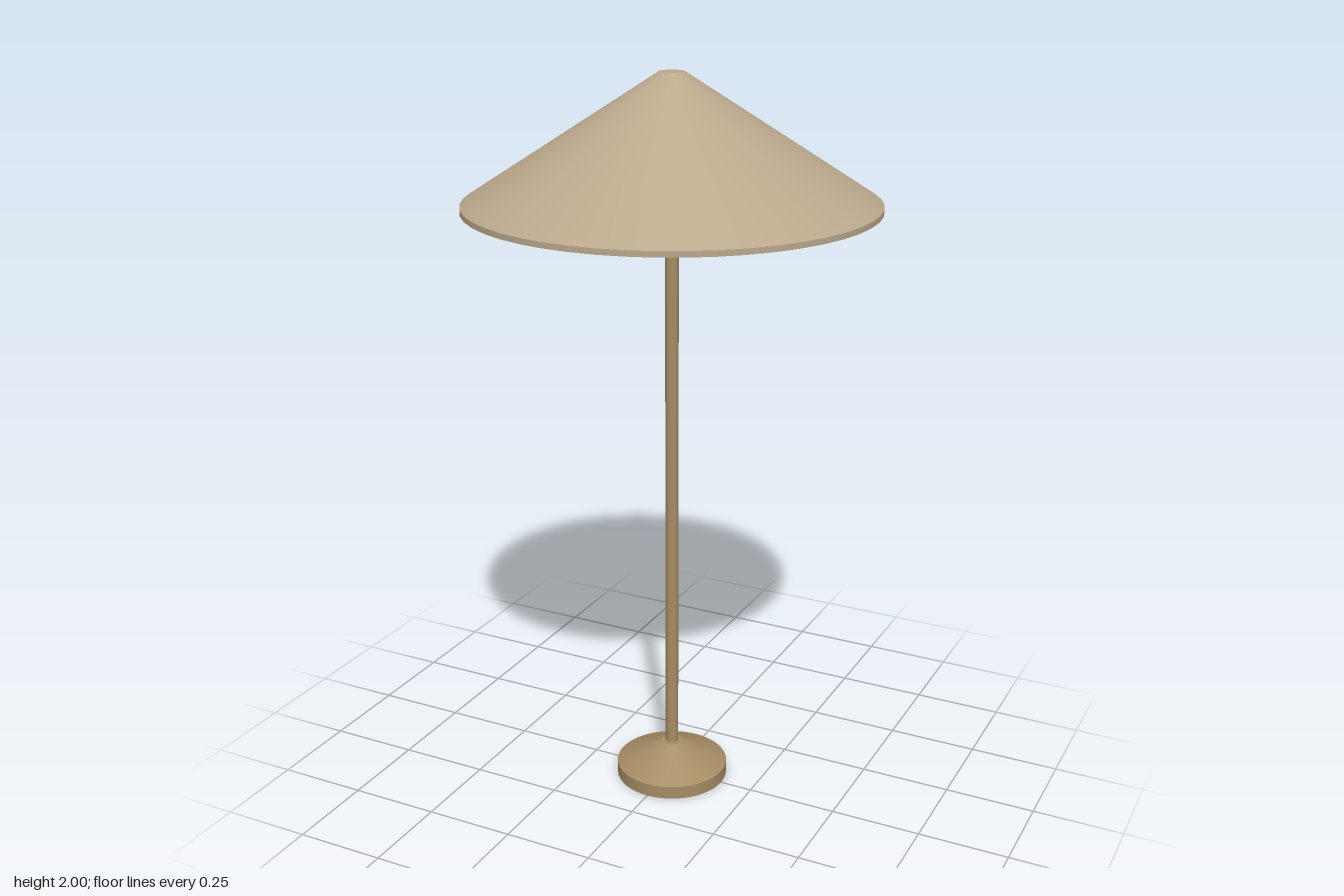
import * as THREE from 'three';

const mat = (name, color) => new THREE.MeshStandardMaterial({ name, color });

export function createModel() {
  const group = new THREE.Group();
  const shadeMat = mat('linen beige', 0xbaa88c);
  const metalMat = mat('brushed brass', 0xa58c64);

  // Round section between heights y0 and y1 with its own end radii
  const section = (name, material, rTop, rBottom, y0, y1, open = false, sides = 48) => {
    const geo = new THREE.CylinderGeometry(rTop, rBottom, y1 - y0, sides, 1, open);
    const mesh = new THREE.Mesh(geo, material);
    mesh.name = name;
    mesh.position.y = (y0 + y1) / 2;
    return mesh;
  };
  // Flat disc closing a section, facing up or down
  const disc = (name, material, r, y, up) => {
    const mesh = new THREE.Mesh(new THREE.CircleGeometry(r, 48), material);
    mesh.name = name;
    mesh.rotation.x = up ? -Math.PI / 2 : Math.PI / 2;
    mesh.position.y = y;
    return mesh;
  };

  // Weighted foot: short drum with a low cone on it
  const base = new THREE.Group();
  base.name = 'base';
  base.add(
    section('baseRim', metalMat, 0.157, 0.157, 0, 0.037, true),
    section('baseCone', metalMat, 0.03, 0.157, 0.037, 0.1, true),
    disc('baseTop', metalMat, 0.03, 0.1, true),
    disc('baseUnderside', metalMat, 0.157, 0, false),
  );

  // Pole from the foot up into the shade
  const pole = section('pole', metalMat, 0.018, 0.018, 0.08, 1.68, false, 24);

  // Wide conical shade with a thin rim and closed underside
  const shade = new THREE.Group();
  shade.name = 'shade';
  shade.add(
    section('shadeRim', shadeMat, 0.543, 0.543, 1.655, 1.67, true),
    section('shadeCone', shadeMat, 0.033, 0.543, 1.67, 2, true),
    disc('shadeTop', shadeMat, 0.033, 2, true),
    disc('shadeUnderside', shadeMat, 0.543, 1.655, false),
  );

  group.add(base, pole, shade);
  return group;
}
